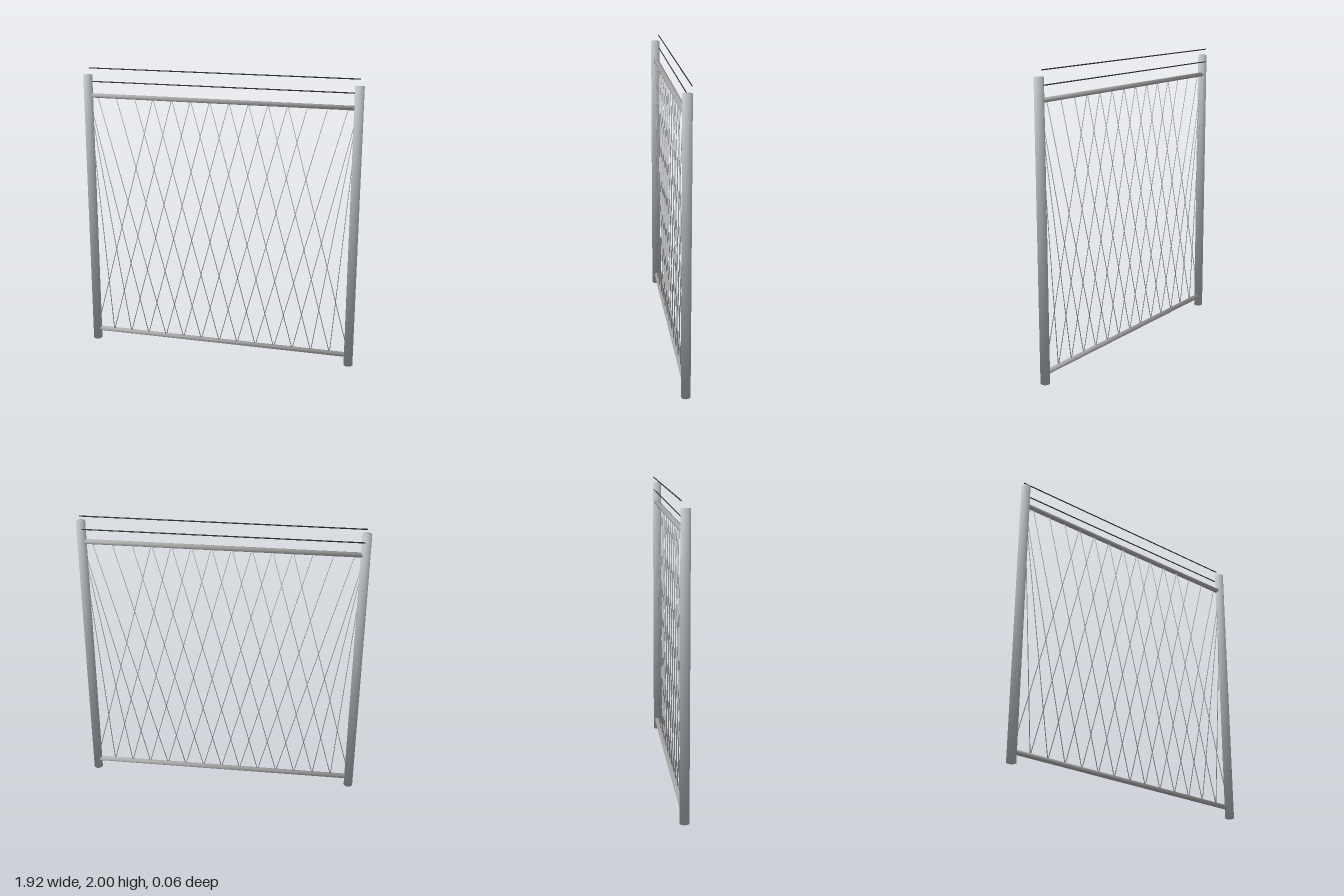
import * as THREE from 'three';

const POST_X = 0.929, BOTTOM = 0.074, TOP = 1.811, STEP = POST_X / 7;

const postSteel = new THREE.MeshStandardMaterial({ name: 'postSteel', color: 0xbac0c3 });
const railSteel = new THREE.MeshStandardMaterial({ name: 'railSteel', color: 0xb0b0b0 });
const meshSteel = new THREE.MeshStandardMaterial({ name: 'meshSteel', color: 0xb0b2b4 });
const darkWire = new THREE.MeshStandardMaterial({ name: 'darkWire', color: 0x38393b });

// Capped rod between two points, shaded smoothly over its end rims
function rod(name, a, b, radius, sides, material) {
  const from = new THREE.Vector3(...a), to = new THREE.Vector3(...b);
  const dir = to.clone().sub(from);
  const geometry = new THREE.CylinderGeometry(radius, radius, dir.length(), sides);
  const { position, normal } = geometry.attributes;
  const n = new THREE.Vector3();
  for (let i = 0; i < position.count; i++) {
    n.set(position.getX(i) / radius, 0.8 * Math.sign(position.getY(i)), position.getZ(i) / radius).normalize();
    normal.setXYZ(i, n.x, n.y, n.z);
  }
  const mesh = new THREE.Mesh(geometry, material);
  mesh.name = name;
  mesh.position.copy(from).add(to).multiplyScalar(0.5);
  mesh.quaternion.setFromUnitVectors(new THREE.Vector3(0, 1, 0), dir.normalize());
  return mesh;
}

export function createModel() {
  const model = new THREE.Group();
  model.name = 'fencePanel';

  // Posts
  for (const [name, x] of [['leftPost', POST_X], ['rightPost', -POST_X]])
    model.add(rod(name, [x, 0, 0], [x, 1.952, 0], 0.031, 16, postSteel));

  // Horizontal rails, slightly deeper than tall
  for (const [name, y] of [['bottomRail', BOTTOM], ['topRail', TOP]]) {
    const rail = rod(name, [-POST_X, y, -0.004], [POST_X, y, -0.004], 0.0155, 12, railSteel);
    rail.scale.z = 1.3;
    model.add(rail);
  }

  // Strands above the panel, on the back of the posts
  for (const [name, y] of [['lowerStrand', 1.904], ['upperStrand', 1.996]])
    model.add(rod(name, [-POST_X, y, -0.026], [POST_X, y, -0.026], 0.004, 6, darkWire));

  // Crossing mesh wires; those that would pass a post are tied to its top
  const mesh = new THREE.Group();
  mesh.name = 'wireMesh';
  for (let k = -7; k <= 7; k++) {
    for (const lean of [-3.5, 3.5]) {
      const end = THREE.MathUtils.clamp(k + lean, -7, 7);
      mesh.add(rod('meshWire', [k * STEP, BOTTOM, 0], [end * STEP, TOP, 0], 0.0026, 6, meshSteel));
    }
  }
  model.add(mesh);
  return model;
}
